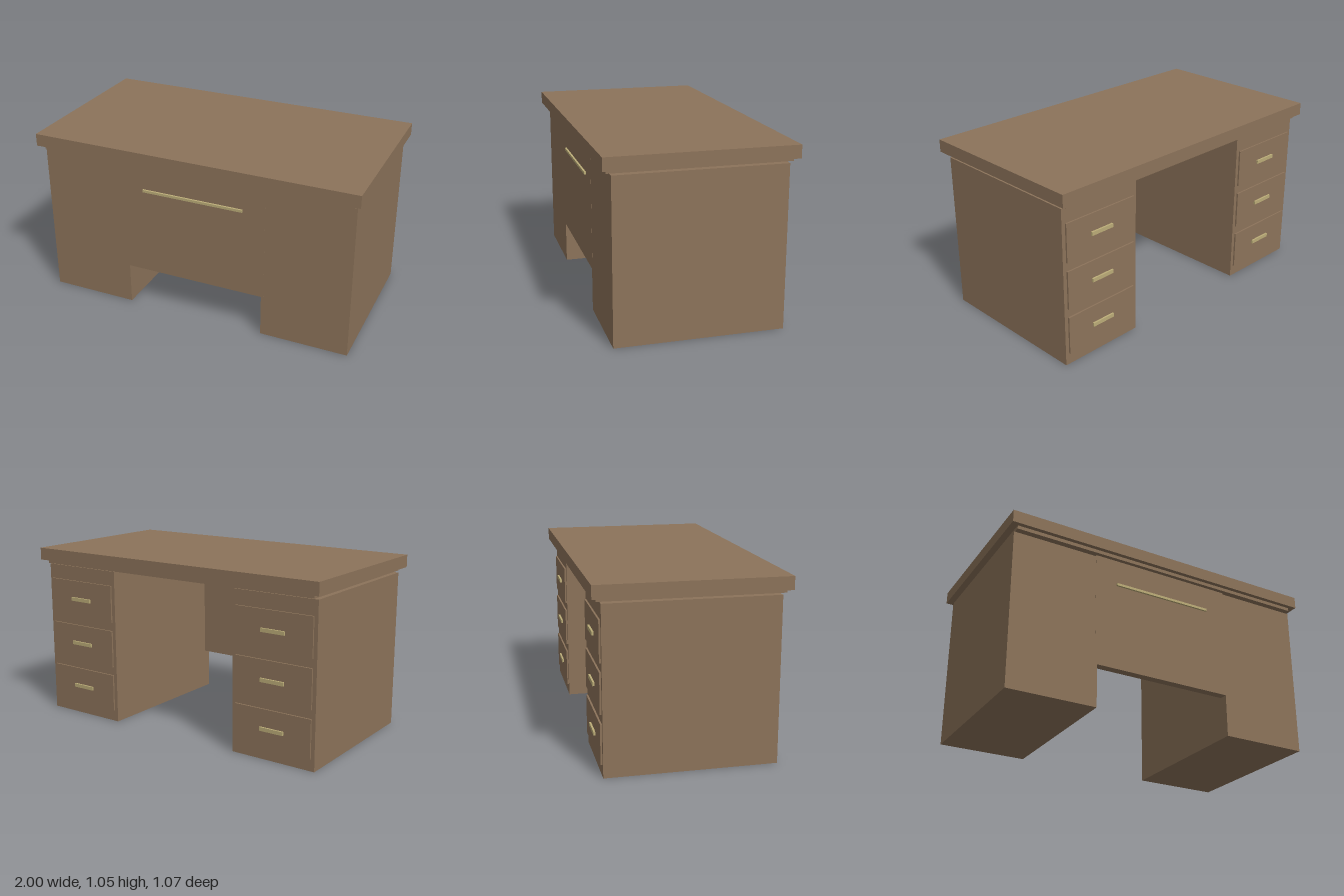
import * as THREE from 'three';

export function createModel() {
  const desk = new THREE.Group();
  desk.name = 'desk';

  const wood = new THREE.MeshStandardMaterial({ color: 0x8c735a });
  wood.name = 'brown wood';
  const brass = new THREE.MeshStandardMaterial({ color: 0xbcad78 });
  brass.name = 'pale brass';

  // Box given by its lower and upper corners
  function box(name, material, [x0, y0, z0], [x1, y1, z1], parent = desk) {
    const mesh = new THREE.Mesh(new THREE.BoxGeometry(x1 - x0, y1 - y0, z1 - z0), material);
    mesh.position.set((x0 + x1) / 2, (y0 + y1) / 2, (z0 + z1) / 2);
    mesh.name = name;
    parent.add(mesh);
  }

  // Top slab and the narrower moulding under it
  box('tabletop', wood, [-1, 0.98, -0.537], [1, 1.055, 0.537]);
  box('topMoulding', wood, [-0.96, 0.959, -0.511], [0.96, 0.98, 0.511]);

  // Front panel between the pedestals, with its long rail
  box('frontPanel', wood, [-0.45, 0.257, 0.437], [0.45, 0.959, 0.4865]);
  box('frontRail', brass, [-0.315, 0.79, 0.4865], [0.315, 0.805, 0.498]);

  // Two pedestals, each with three drawers on the back side
  for (const side of [1, -1]) {
    const pedestal = new THREE.Group();
    pedestal.name = side > 0 ? 'leftPedestal' : 'rightPedestal';
    pedestal.position.x = side * 0.703;
    desk.add(pedestal);
    box('pedestalBody', wood, [-0.268, 0, -0.486], [0.268, 0.951, 0.486], pedestal);
    for (let i = 0; i < 3; i++) {
      const y = 0.183 + i * 0.282;
      box('drawerFront', wood, [-0.245, y - 0.115, -0.496], [0.245, y + 0.115, -0.486], pedestal);
      box('drawerHandle', brass, [-0.076, y - 0.011, -0.507], [0.076, y + 0.011, -0.496], pedestal);
    }
  }
  return desk;
}
